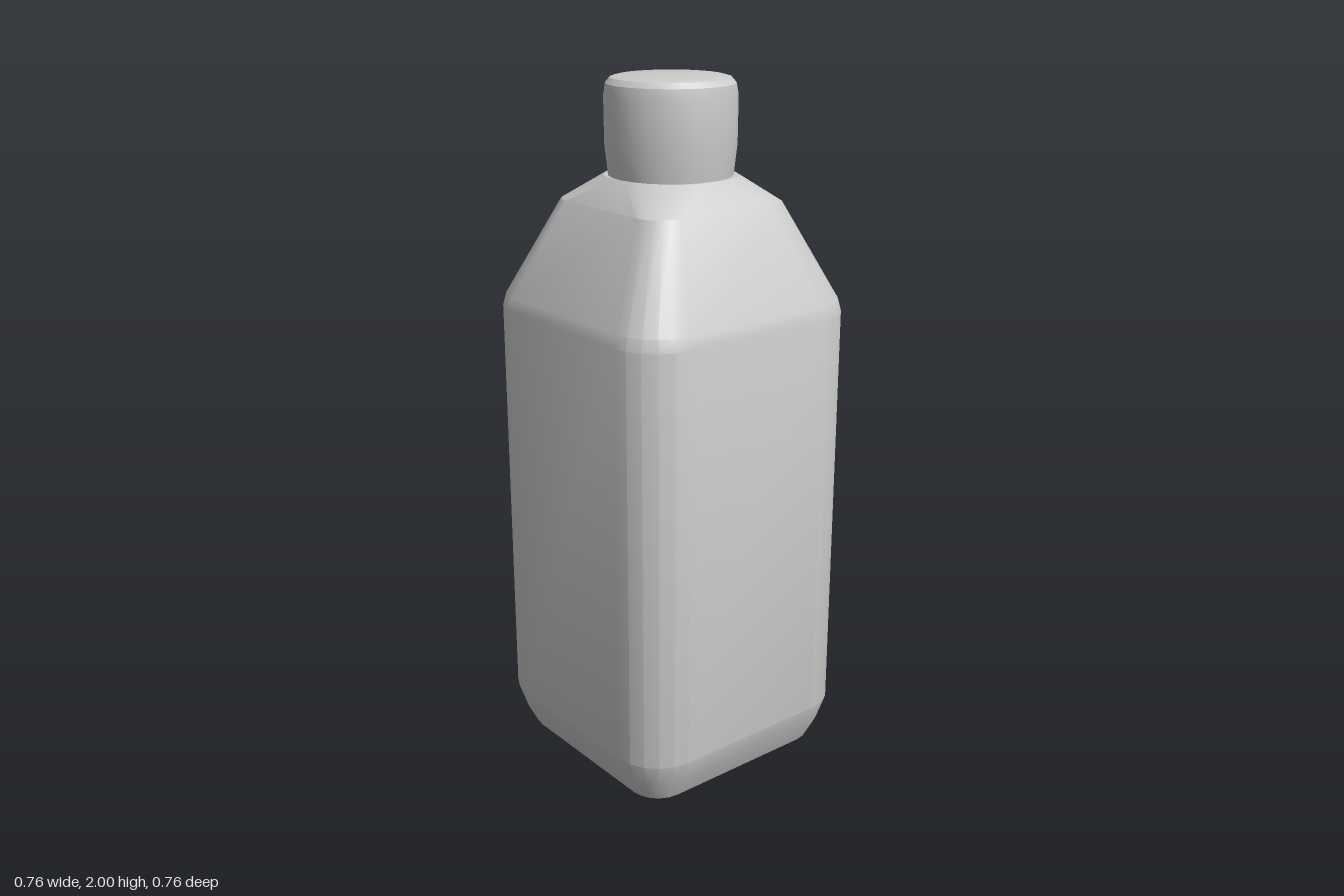
import * as THREE from 'three';
import { toCreasedNormals } from 'three/addons/utils/BufferGeometryUtils.js';

const CORNER_STEPS = 5;

// Points round a square with rounded corners, counter-clockwise seen from above
function roundedSquare(y, half, radius) {
  const ring = [];
  for (let corner = 0; corner < 4; corner++) {
    const mid = Math.PI / 4 + corner * Math.PI / 2;
    const cx = Math.sign(Math.cos(mid)) * (half - radius);
    const cz = Math.sign(Math.sin(mid)) * (half - radius);
    for (let i = 0; i <= CORNER_STEPS; i++) {
      const a = (corner + i / CORNER_STEPS) * Math.PI / 2;
      ring.push([cx + radius * Math.cos(a), y, cz + radius * Math.sin(a)]);
    }
  }
  return ring;
}

// Skin a stack of rings from bottom to top and close both ends
function loft(rings) {
  const n = rings[0].length;
  const positions = rings.flat(2);
  const index = [];
  for (let r = 0; r < rings.length - 1; r++) {
    for (let i = 0; i < n; i++) {
      const a = r * n + i, b = r * n + (i + 1) % n;
      index.push(a, a + n, b, b, a + n, b + n);
    }
  }
  const top = (rings.length - 1) * n;
  for (let i = 1; i < n - 1; i++) {
    index.push(0, i, i + 1, top, top + i + 1, top + i);
  }
  const geometry = new THREE.BufferGeometry();
  geometry.setAttribute('position', new THREE.Float32BufferAttribute(positions, 3));
  geometry.setIndex(index);
  return geometry;
}

export function createModel() {
  const model = new THREE.Group();
  model.name = 'bottle';
  const material = new THREE.MeshStandardMaterial({ color: 0xcccccc });

  function add(name, geometry) {
    const mesh = new THREE.Mesh(toCreasedNormals(geometry, 0.36), material);
    mesh.name = name;
    model.add(mesh);
  }

  // Body: height, half width and corner radius of each section
  const sections = [
    [0.0, 0.3, 0.08],
    [0.02, 0.325, 0.09],
    [0.075, 0.352, 0.11],
    [0.155, 0.38, 0.14],
    [1.36, 0.38, 0.14],
    [1.395, 0.37, 0.13],
    [1.665, 0.24, 0.08],
    [1.735, 0.175, 0.15],
  ];
  add('body', loft(sections.map(s => roundedSquare(...s))));

  // Screw cap: closed below, slightly flared, with a rounded top rim
  const capProfile = [
    [0, 1.73], [0.172, 1.73], [0.182, 1.82], [0.183, 1.95],
    [0.178, 1.98], [0.165, 1.995], [0.145, 2], [0, 2],
  ].map(p => new THREE.Vector2(...p));
  add('cap', new THREE.LatheGeometry(capProfile, 24));

  return model;
}
